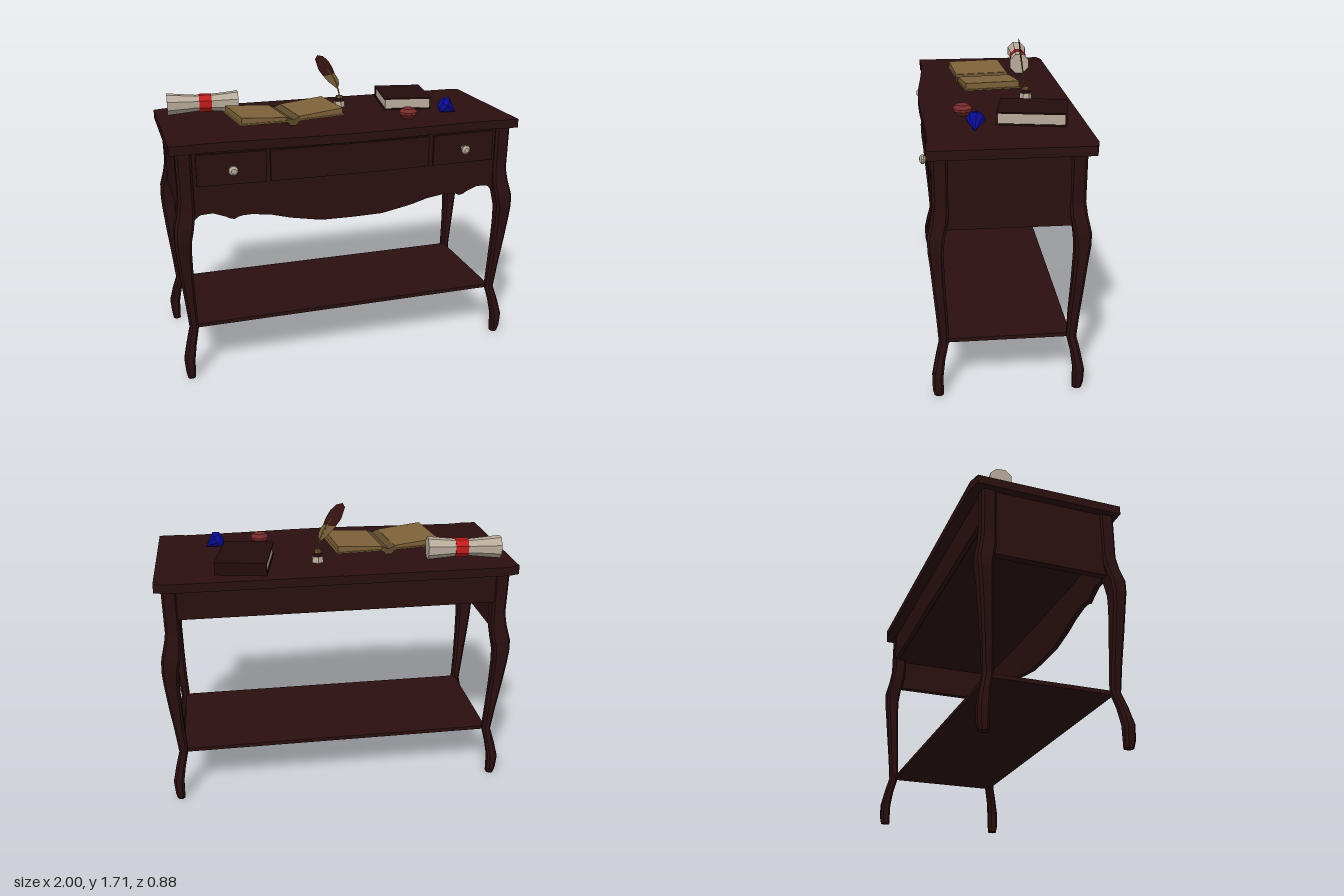
import * as THREE from 'three';

const mat = (name, color, extra = {}) => {
  const m = new THREE.MeshStandardMaterial({ color, flatShading: true, ...extra });
  m.name = name;
  return m;
};

// linear interpolation through [x, y] points
const lerpTable = (pts, x) => {
  for (let i = 1; i < pts.length; i++) {
    const [x0, y0] = pts[i - 1], [x1, y1] = pts[i];
    if (x <= x1) return y0 + (y1 - y0) * (x - x0) / (x1 - x0);
  }
  return pts[pts.length - 1][1];
};

// gentle bow of the desk front
const bow = x => 0.03 * (1 - x * x);

const TOP = 1.385;

export function createModel() {
  const wood = mat('dark wood', 0x2a0f0f);
  const cover = mat('book cover', 0x240b0b);
  const parchment = mat('parchment', 0xb8ab9b);
  const tan = mat('aged paper', 0x7d6239, { side: THREE.DoubleSide });
  const crease = mat('page crease', 0x5e4a2c);
  const red = mat('red ribbon', 0xc21c1c);
  const wax = mat('sealing wax', 0x762a2a);
  const blue = mat('blue gem', 0x0a0c96);
  const feather = mat('dark feather', 0x3a1512, { side: THREE.DoubleSide });
  const brass = mat('pale metal', 0xb5ab98);

  const root = new THREE.Group();
  root.name = 'writingDesk';
  const add = (name, geo, m, x = 0, y = 0, z = 0, parent = root) => {
    const mesh = new THREE.Mesh(geo, m);
    mesh.name = name;
    mesh.position.set(x, y, z);
    parent.add(mesh);
    return mesh;
  };
  const group = (name, x, y, z) => {
    const g = new THREE.Group();
    g.name = name;
    g.position.set(x, y, z);
    root.add(g);
    return g;
  };
  const box = (w, h, d) => new THREE.BoxGeometry(w, h, d);
  const lathe = (pts, n) => new THREE.LatheGeometry(pts.map(p => new THREE.Vector2(...p)), n);
  const extrude = (pts, depth) => new THREE.ExtrudeGeometry(
    new THREE.Shape(pts.map(p => new THREE.Vector2(...p))), { depth, bevelEnabled: false });

  // tabletop with a serpentine front edge and clipped back corners
  const half = [[0, -0.43], [0.2, -0.425], [0.45, -0.41], [0.7, -0.399], [0.84, -0.395], [0.9, -0.406],
    [1, -0.406], [1, 0.42], [0.93, 0.44]];
  const outline = [...half, ...half.slice(1).reverse().map(([x, y]) => [-x, y])];
  add('tabletop', extrude(outline, 0.05).rotateX(-Math.PI / 2), wood, 0, TOP - 0.05, 0);

  // cabriole legs: [y, outer x, inner x, outer z, inner z]
  const legRows = [
    [0, 0.977, 0.933, 0.397, 0.347], [0.04, 0.984, 0.932, 0.405, 0.347], [0.12, 0.99, 0.93, 0.406, 0.347],
    [0.21, 0.97, 0.915, 0.388, 0.335], [0.3, 0.945, 0.895, 0.366, 0.313], [0.45, 0.96, 0.903, 0.376, 0.316],
    [0.62, 0.98, 0.908, 0.39, 0.325], [0.77, 0.995, 0.91, 0.402, 0.331], [0.85, 0.999, 0.906, 0.411, 0.332],
    [0.92, 0.996, 0.892, 0.413, 0.325], [1.01, 0.974, 0.88, 0.393, 0.305], [1.08, 0.963, 0.88, 0.383, 0.3],
    [1.34, 0.966, 0.88, 0.383, 0.3]];
  const legGeometry = (sx, sz) => {
    const pos = [], idx = [], c = 0.013, n = 8;
    for (const [y, xo, xi, zo, zi] of legRows) {
      const ring = [[xo, zo - c], [xo - c, zo], [xi + c, zo], [xi, zo - c],
        [xi, zi + c], [xi + c, zi], [xo - c, zi], [xo, zi + c]];
      for (const [x, z] of ring) pos.push(sx * x, y, sz * z);
    }
    const tri = (a, b, d) => sx * sz > 0 ? idx.push(a, d, b) : idx.push(a, b, d);
    for (let r = 0; r < legRows.length - 1; r++)
      for (let i = 0; i < n; i++) {
        const a = r * n + i, b = r * n + (i + 1) % n;
        tri(a, b, a + n);
        tri(b, b + n, a + n);
      }
    for (let i = 1; i < n - 1; i++) tri(0, i + 1, i); // foot
    const g = new THREE.BufferGeometry();
    g.setAttribute('position', new THREE.Float32BufferAttribute(pos, 3));
    g.setIndex(idx);
    g.computeVertexNormals();
    return g;
  };
  for (const sx of [-1, 1])
    for (const sz of [-1, 1])
      add((sz > 0 ? 'front' : 'back') + (sx > 0 ? 'Left' : 'Right') + 'Leg', legGeometry(sx, sz), wood);

  // front apron with a scalloped lower edge
  const scallop = [[0, 0.883], [0.18, 0.885], [0.355, 0.917], [0.46, 0.945], [0.57, 0.96], [0.635, 0.957],
    [0.675, 0.937], [0.715, 0.96], [0.785, 0.985], [0.86, 0.978], [0.9, 0.93], [0.93, 0.92]];
  const apron = new THREE.BoxGeometry(1.84, 1, 0.03, 80, 1, 1);
  const ap = apron.attributes.position;
  for (let i = 0; i < ap.count; i++) {
    const x = ap.getX(i);
    if (ap.getY(i) < 0) ap.setY(i, lerpTable(scallop, Math.abs(x)));
    else ap.setY(i, 1.34);
    ap.setZ(i, ap.getZ(i) + 0.34 + bow(x));
  }
  apron.computeVertexNormals();
  add('frontApron', apron, wood);

  // drawer fronts follow the bow
  const drawer = (name, x0, x1) => {
    const g = new THREE.BoxGeometry(x1 - x0, 0.175, 0.03, 10, 1, 1);
    g.translate((x0 + x1) / 2, 1.2325, 0.353);
    const p = g.attributes.position;
    for (let i = 0; i < p.count; i++) p.setZ(i, p.getZ(i) + bow(p.getX(i)));
    add(name, g, wood);
  };
  drawer('rightDrawer', -0.86, -0.485);
  drawer('middleDrawer', -0.462, 0.455);
  drawer('leftDrawer', 0.485, 0.86);

  // drawer knobs
  const knobProfile = [[0, 0], [0.02, 0], [0.011, 0.008], [0.011, 0.022], [0.026, 0.032], [0.026, 0.044], [0.014, 0.054], [0, 0.055]];
  for (const s of [-1, 1])
    add('drawerKnob', lathe(knobProfile, 10).rotateX(Math.PI / 2), brass, s * 0.67, 1.232, 0.381);

  // side panels, back panel, case bottom, lower shelf
  for (const s of [-1, 1]) add('sidePanel', box(0.04, 0.385, 0.66), wood, s * 0.935, 1.1475, 0);
  add('backPanel', box(1.8, 0.185, 0.025), wood, 0, 1.2475, -0.365);
  add('caseBottom', box(1.84, 0.015, 0.7), wood, 0, 1.16, 0);
  add('lowerShelf', box(1.83, 0.022, 0.67), wood, 0, 0.3, 0);

  // tied scroll
  const scroll = group('scroll', -0.725, TOP + 0.064, -0.25);
  scroll.rotation.y = -0.08;
  const roll = lathe([[0, -0.207], [0.065, -0.207], [0.049, -0.04], [0.049, 0.04], [0.065, 0.207], [0, 0.207]], 8);
  add('parchmentRoll', roll.rotateY(Math.PI / 8).rotateZ(-Math.PI / 2), parchment, 0, 0, 0, scroll);
  const ribbon = new THREE.CylinderGeometry(0.054, 0.054, 0.072, 8);
  add('ribbon', ribbon.rotateY(Math.PI / 8).rotateZ(-Math.PI / 2), red, 0.015, 0, 0, scroll);

  // open book: two page blocks around a dropped spine
  const open = group('openBook', -0.3, TOP, 0.025);
  open.rotation.y = 0.115;
  for (const s of [-1, 1]) {
    const pages = [[0.035, 0.032], [0.3, 0.038], [0.3, 0.075], [0.035, 0.052]].map(([x, y]) => [s * x, y]);
    add('pageBlock', extrude(pages, 0.32), tan, 0, 0, -0.16, open);
    const board = add('bookBoard', box(0.28, 0.008, 0.335), tan, s * 0.171, 0.034, 0, open);
    board.rotation.z = s * 0.02;
  }
  add('spine', extrude([[-0.045, 0.038], [-0.018, 0.004], [0.018, 0.004], [0.045, 0.038], [0.035, 0.05], [0, 0.036], [-0.035, 0.05]], 0.33),
    crease, 0, 0, -0.165, open);

  // inkwell and quill
  const ink = group('inkwell', 0.1, TOP, -0.19);
  add('inkPot', new THREE.CylinderGeometry(0.032, 0.036, 0.035, 6), parchment, 0, 0.0175, 0, ink);
  add('inkShoulder', new THREE.CylinderGeometry(0.014, 0.032, 0.018, 6), cover, 0, 0.044, 0, ink);
  add('inkNeck', new THREE.CylinderGeometry(0.02, 0.02, 0.014, 6), tan, 0, 0.06, 0, ink);
  const quill = group('quill', 0, 1.45, -0.183);
  quill.rotation.x = 0.07;
  const vane = (name, pts, m) => add(name, new THREE.ShapeGeometry(
    new THREE.Shape(pts.map(p => new THREE.Vector2(...p)))), m, 0, 0, 0, quill);
  vane('featherTip', [[-0.058, 0.235], [-0.045, 0.26], [-0.01, 0.252], [0.025, 0.222], [0.048, 0.185],
    [0.065, 0.145], [0.03, 0.135], [-0.005, 0.13], [-0.035, 0.17]], feather);
  vane('featherBase', [[-0.005, 0.13], [0.03, 0.135], [0.065, 0.145], [0.09, 0.105], [0.095, 0.075], [0.085, 0.045], [0.025, 0.095]], tan);
  const shaft = new THREE.QuadraticBezierCurve3(new THREE.Vector3(0.1, -0.01, 0),
    new THREE.Vector3(0.09, 0.08, 0), new THREE.Vector3(0.02, 0.175, 0));
  add('quillShaft', new THREE.TubeGeometry(shaft, 8, 0.004, 5), tan, 0, 0, 0, quill);

  // closed book
  const closed = group('closedBook', 0.504, TOP, -0.172);
  closed.rotation.y = -0.18;
  add('bookPages', box(0.272, 0.054, 0.352), parchment, 0, 0.035, 0, closed);
  for (const y of [0.004, 0.066]) add('bookCover', box(0.285, 0.008, 0.365), cover, 0, y, 0, closed);
  add('bookSpine', box(0.285, 0.07, 0.01), cover, 0, 0.035, -0.179, closed);

  // wax seal lump
  add('waxSeal', lathe([[0, 0], [0.032, 0], [0.053, 0.024], [0.053, 0.038], [0.036, 0.058], [0, 0.062]], 10), wax, 0.4, TOP, 0.195);

  // cut gem resting on its side
  const gem = add('gem', lathe([[0, -0.083], [0.052, 0], [0.034, 0.026], [0, 0.026]], 8), blue, 0.65, TOP + 0.048, 0.143);
  gem.quaternion.setFromUnitVectors(new THREE.Vector3(0, 1, 0), new THREE.Vector3(-0.84, 0.54, -0.1).normalize());

  return root;
}
